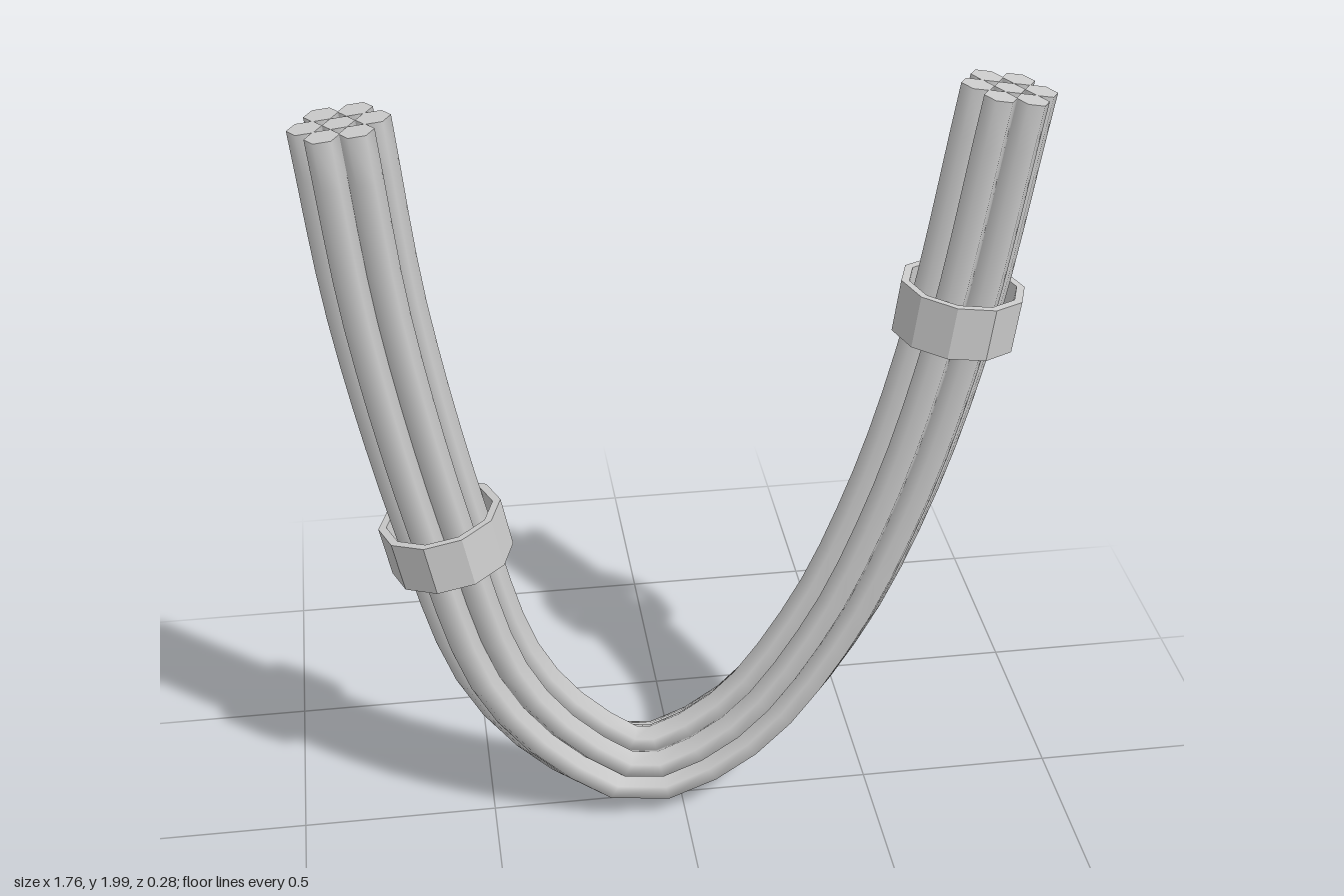
import * as THREE from 'three';

const SIDES = 6, STEPS = 36, DEPTH = 0.94; // DEPTH slightly flattens the section in z

const path = new THREE.CatmullRomCurve3([
  [-0.765, 1.985], [-0.71, 1.5], [-0.59, 0.9], [-0.467, 0.47], [-0.31, 0.25], [-0.11, 0.118],
  [0.147, 0.232], [0.369, 0.528], [0.53, 0.903], [0.655, 1.36], [0.76, 1.98],
].map(([x, y]) => new THREE.Vector3(x, y, 0)), false, 'centripetal');

// Sweep a polygonal strand along the path, offset from the centreline
function strandGeometry(offsetRadius, offsetAngle, radius) {
  const pos = [], index = [];
  const ring = (u) => {
    const p = path.getPointAt(u), t = path.getTangentAt(u);
    const point = (n, b) => [p.x - t.y * n, p.y + t.x * n, b * DEPTH];
    const cn = offsetRadius * Math.cos(offsetAngle), cb = offsetRadius * Math.sin(offsetAngle);
    const first = pos.length / 3;
    for (let j = 0; j < SIDES; j++) {
      const a = (j / SIDES) * Math.PI * 2;
      pos.push(...point(cn + radius * Math.cos(a), cb + radius * Math.sin(a)));
    }
    return first;
  };
  // side wall
  for (let i = 0; i <= STEPS; i++) ring(i / STEPS);
  for (let i = 0; i < STEPS; i++) {
    for (let j = 0; j < SIDES; j++) {
      const a = i * SIDES + j, b = i * SIDES + (j + 1) % SIDES;
      index.push(a, b, a + SIDES, b, b + SIDES, a + SIDES);
    }
  }
  // flat end caps with their own vertices
  const start = ring(0), end = ring(1);
  for (let j = 1; j < SIDES - 1; j++) {
    index.push(start, start + j + 1, start + j);
    index.push(end, end + j, end + j + 1);
  }
  const geometry = new THREE.BufferGeometry();
  geometry.setAttribute('position', new THREE.Float32BufferAttribute(pos, 3));
  geometry.setIndex(index);
  geometry.computeVertexNormals();
  return geometry;
}

export function createModel() {
  const model = new THREE.Group();
  model.name = 'hangingCable';
  const smooth = new THREE.MeshStandardMaterial({ color: 0xcccccc });
  const flat = new THREE.MeshStandardMaterial({ color: 0xcccccc, flatShading: true });

  // Bundle of six strands around a core
  const bundle = new THREE.Group();
  bundle.name = 'cableBundle';
  for (let i = 0; i < 6; i++) {
    const strand = new THREE.Mesh(strandGeometry(0.077, (i * Math.PI) / 3, 0.04), smooth);
    strand.name = 'strand' + (i + 1);
    bundle.add(strand);
  }
  const core = new THREE.Mesh(strandGeometry(0, 0, 0.037), smooth);
  core.name = 'coreStrand';
  bundle.add(core);
  model.add(bundle);

  // Ten-sided open collars
  const outer = 0.154, inner = 0.134, half = 0.067;
  const profile = [[inner, -half], [outer, -half], [outer, half], [inner, half], [inner, -half]]
    .map(([x, y]) => new THREE.Vector2(x, y));
  const collarGeometry = new THREE.LatheGeometry(profile, 10, Math.PI / 2);
  const addCollar = (name, x, y, tilt) => {
    const collar = new THREE.Mesh(collarGeometry, flat);
    collar.name = name;
    collar.position.set(x, y, 0);
    collar.rotation.z = tilt;
    collar.scale.z = DEPTH;
    model.add(collar);
  };
  addCollar('rightCollar', -0.585, 0.879, 0.2);
  addCollar('leftCollar', 0.674, 1.418, -0.13);

  return model;
}
